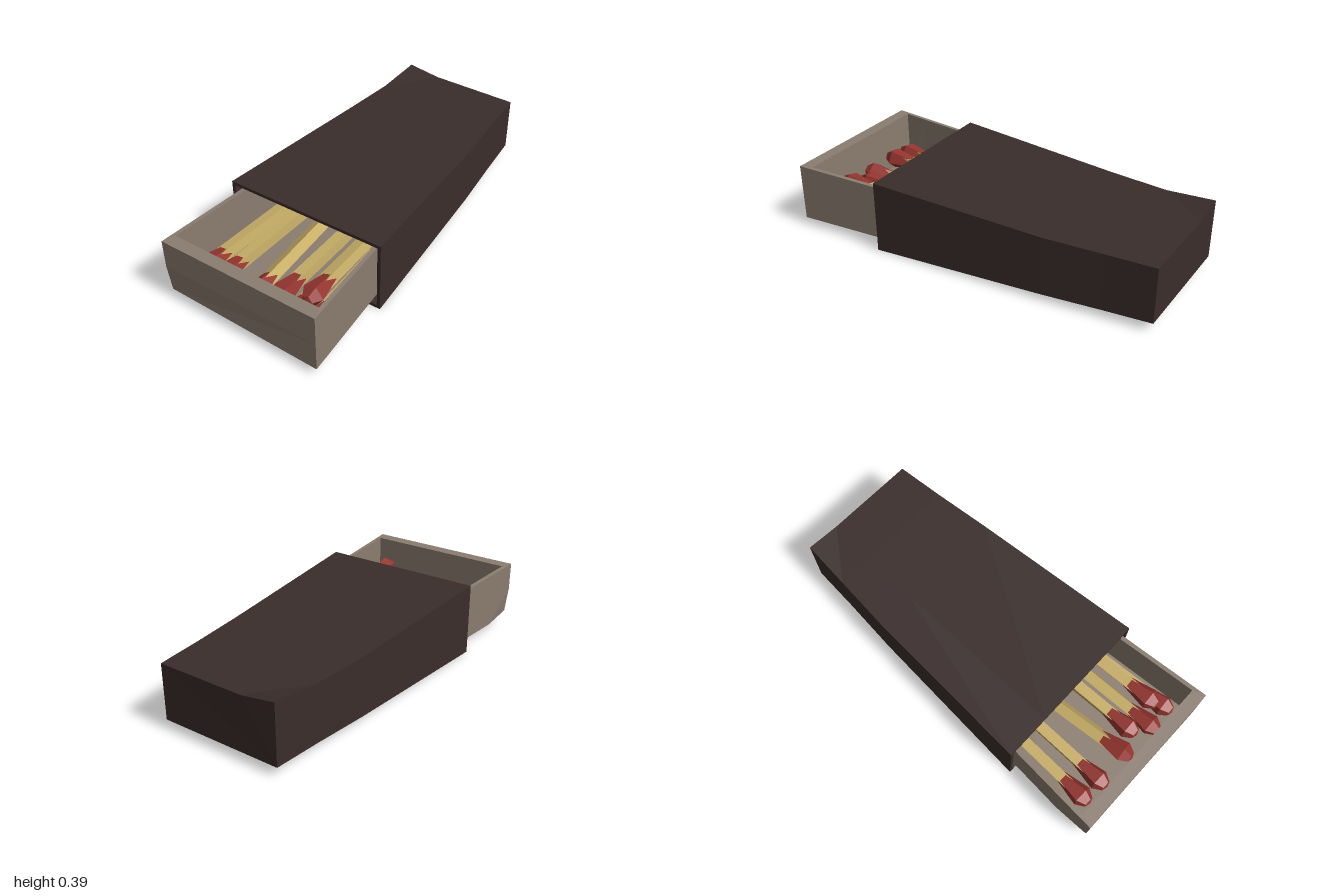
import * as THREE from 'three';

const material = (color) => new THREE.MeshStandardMaterial({ color, flatShading: true });

// Skins a list of equal-length rings of [x, y, z] and caps both ends
function loft(rings) {
  const out = [];
  const tri = (a, b, c) => out.push(...a, ...b, ...c);
  const n = rings[0].length;
  for (let i = 0; i < rings.length - 1; i++) {
    for (let j = 0; j < n; j++) {
      const k = (j + 1) % n;
      const [a, b, c, d] = [rings[i][j], rings[i][k], rings[i + 1][k], rings[i + 1][j]];
      tri(a, b, c);
      tri(a, c, d);
    }
  }
  const first = rings[0], last = rings[rings.length - 1];
  for (let j = 1; j < n - 1; j++) {
    tri(first[0], first[j + 1], first[j]);
    tri(last[0], last[j], last[j + 1]);
  }
  const g = new THREE.BufferGeometry();
  g.setAttribute('position', new THREE.Float32BufferAttribute(out, 3));
  g.computeVertexNormals();
  return g;
}

// Sleeve section: half width, bottom, top, depth and lift of the left-hand top corner
const sleeveRing = (hw, y0, y1, z, lift = 0, zRight = z) => [
  [-hw, y0, z], [hw, y0, zRight], [hw, y1, zRight], [-0.45 * hw, y1, z], [-hw, y1 + lift, z],
];

// Tray section: front corners, back half width, front and back heights, depths
const trayRing = (hf, hb, yf, yb, zf, zb) => {
  const t = (zf - 0.8) / (zf - zb);
  return [
    [-hf, yf, zf], [hf, yf, zf], [hb, yb, zb], [-hb, yb, zb],
    [-(hf + (hb - hf) * t), yf + (yb - yf) * t, 0.8],
  ];
};

export function createModel() {
  const group = new THREE.Group();
  const add = (name, geometry, mat, parent = group) => {
    const mesh = new THREE.Mesh(geometry, mat);
    mesh.name = name;
    parent.add(mesh);
    return mesh;
  };

  // Sleeve: outside from back to front, then inside back again
  add('sleeve', loft([
    sleeveRing(0.333, 0.05, 0.345, -1, 0.026, -0.99),
    sleeveRing(0.352, 0.042, 0.345, -0.74),
    sleeveRing(0.38, 0.032, 0.347, -0.43),
    sleeveRing(0.437, 0, 0.39, 0.505),
    sleeveRing(0.419, 0.017, 0.373, 0.505),
    sleeveRing(0.362, 0.048, 0.332, -0.43),
    sleeveRing(0.316, 0.064, 0.331, -0.97),
  ]), material(0x3a2d2b));

  // Tray: outside from bottom to rim, then down to the floor
  const bottom = trayRing(0.434, 0.3, 0.043, 0.071, 1, -0.94);
  bottom[0] = [-0.42, 0.06, 0.995];
  add('tray', loft([
    bottom,
    trayRing(0.435, 0.3, 0.2, 0.2, 1, -0.94),
    trayRing(0.436, 0.3, 0.354, 0.318, 1, -0.94),
    trayRing(0.41, 0.28, 0.354, 0.318, 0.935, -0.91),
    trayRing(0.405, 0.278, 0.075, 0.09, 0.93, -0.9),
  ]), material(0x8b7d70));

  // Matches: head x, head z, head height, tail x, roll
  const stickGeometry = new THREE.BoxGeometry(0.055, 0.055, 1.55).translate(0, 0, -0.775);
  const headGeometry = new THREE.LatheGeometry(
    [[0, -0.1], [0.03, -0.1], [0.058, 0.045], [0.03, 0.09], [0, 0.1]].map(([x, y]) => new THREE.Vector2(x, y)), 5,
  ).rotateX(Math.PI / 2);
  const stickMaterial = material(0xc9b068);
  const headMaterial = material(0x96352f);
  [
    [-0.31, 0.82, 0.16, -0.25, 0.2],
    [-0.195, 0.83, 0.17, -0.17, 0.1],
    [-0.01, 0.83, 0.16, -0.14, 0.6],
    [0.105, 0.77, 0.17, 0.08, 0.1],
    [0.2, 0.84, 0.14, 0.17, 0.4],
    [0.27, 0.755, 0.24, 0.22, 0.3],
    [0.32, 0.825, 0.15, 0.24, 0.15],
  ].forEach(([x, z, y, tailX, roll]) => {
    const match = new THREE.Group();
    match.name = 'match';
    match.position.set(x, y, z);
    match.rotation.set(-0.015, Math.atan2(x - tailX, 1.55), roll);
    add('matchStick', stickGeometry, stickMaterial, match);
    add('matchHead', headGeometry, headMaterial, match);
    group.add(match);
  });

  return group;
}
